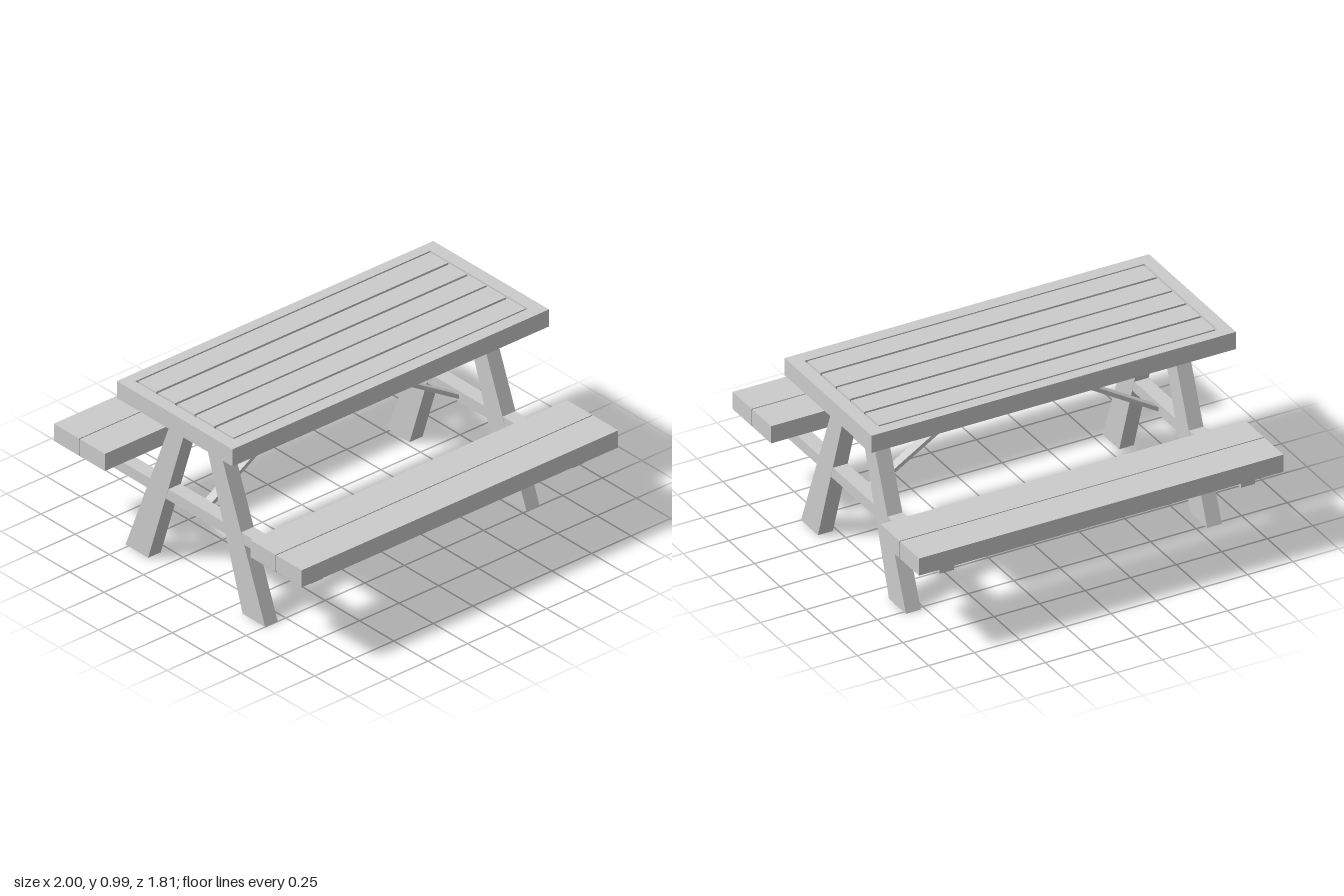
import * as THREE from 'three';

const material = new THREE.MeshStandardMaterial({ color: 0xcccccc, flatShading: true });

function add(parent, name, geometry) {
  const mesh = new THREE.Mesh(geometry, material);
  mesh.name = name;
  parent.add(mesh);
  return mesh;
}

// Box given by its limits on each axis
function block(parent, name, [x0, x1], [y0, y1], [z0, z1]) {
  const geometry = new THREE.BoxGeometry(x1 - x0, y1 - y0, z1 - z0);
  geometry.translate((x0 + x1) / 2, (y0 + y1) / 2, (z0 + z1) / 2);
  return add(parent, name, geometry);
}

// Outline of [a, y] points pushed through a thickness
function plate(points, depth) {
  const shape = new THREE.Shape(points.map(([a, b]) => new THREE.Vector2(a, b)));
  return new THREE.ExtrudeGeometry(shape, { depth, bevelEnabled: false });
}

function group(parent, name) {
  const g = new THREE.Group();
  g.name = name;
  parent.add(g);
  return g;
}

export function createModel() {
  const model = new THREE.Group();
  model.name = 'picnicTable';

  // Table top: rim, five slats and a recessed core that closes the grooves
  const top = group(model, 'tableTop');
  const topY = [0.895, 0.99];
  const rim = new THREE.Shape([[-1, -0.4], [1, -0.4], [1, 0.445], [-1, 0.445]].map(p => new THREE.Vector2(...p)));
  rim.holes.push(new THREE.Path([[-0.935, -0.33], [-0.935, 0.385], [0.93, 0.385], [0.93, -0.33]].map(p => new THREE.Vector2(...p))));
  const rimGeometry = new THREE.ExtrudeGeometry(rim, { depth: topY[1] - topY[0], bevelEnabled: false });
  rimGeometry.rotateX(-Math.PI / 2).translate(0, topY[0], 0);
  add(top, 'topRim', rimGeometry);
  block(top, 'topCore', [-0.96, 0.96], [0.915, 0.97], [-0.41, 0.36]);
  const slats = [[-0.375, -0.245], [-0.231, -0.105], [-0.091, 0.034], [0.046, 0.18], [0.194, 0.321]];
  for (const z of slats) block(top, 'topSlat', [-0.925, 0.92], topY, z);

  // Benches: two boards each with a shallow seam between them
  for (const side of [1, -1]) {
    const bench = group(model, side > 0 ? 'frontBench' : 'backBench');
    for (const [near, far] of [[0.532, 0.715], [0.721, 0.906]]) {
      const z = [side * near, side * far].sort((a, b) => a - b);
      block(bench, 'benchBoard', [-1, 1], [0.45, 0.545], z);
    }
    const seam = [side * 0.70, side * 0.74].sort((a, b) => a - b);
    block(bench, 'benchSeam', [-0.998, 0.998], [0.458, 0.537], seam);
  }

  // End frames: tapered splayed legs and a crossbeam under the benches
  const frontLeg = [[0.335, 0], [0.5, 0], [0.145, 0.9], [0.045, 0.9]];
  const backLeg = [[-0.52, 0], [-0.355, 0], [-0.06, 0.9], [-0.16, 0.9]];
  for (const [name, x0, x1] of [['rightFrame', -0.88, -0.8], ['leftFrame', 0.772, 0.854]]) {
    const frame = group(model, name);
    for (const [legName, outline] of [['frontLeg', frontLeg], ['backLeg', backLeg]]) {
      const leg = plate(outline, x1 - x0);
      leg.rotateY(-Math.PI / 2).translate(x1, 0, 0);
      add(frame, legName, leg);
    }
    block(frame, 'crossbeam', [x0 + 0.001, x1 - 0.001], [0.387, 0.447], [-0.845, 0.83]);
  }

  // Diagonal braces from the middle of the top down to the crossbeams
  const braces = group(model, 'braces');
  const mid = -0.014;
  const brace = [[0, 0.882], [0.79, 0.4], [0.79, 0.424], [0.015, 0.897], [0, 0.897]];
  for (const side of [1, -1]) {
    const outline = brace.map(([x, y]) => [mid + side * x, y]);
    const geometry = plate(outline, 0.05);
    geometry.translate(0, 0, -0.045);
    add(braces, 'diagonalBrace', geometry);
  }

  return model;
}
